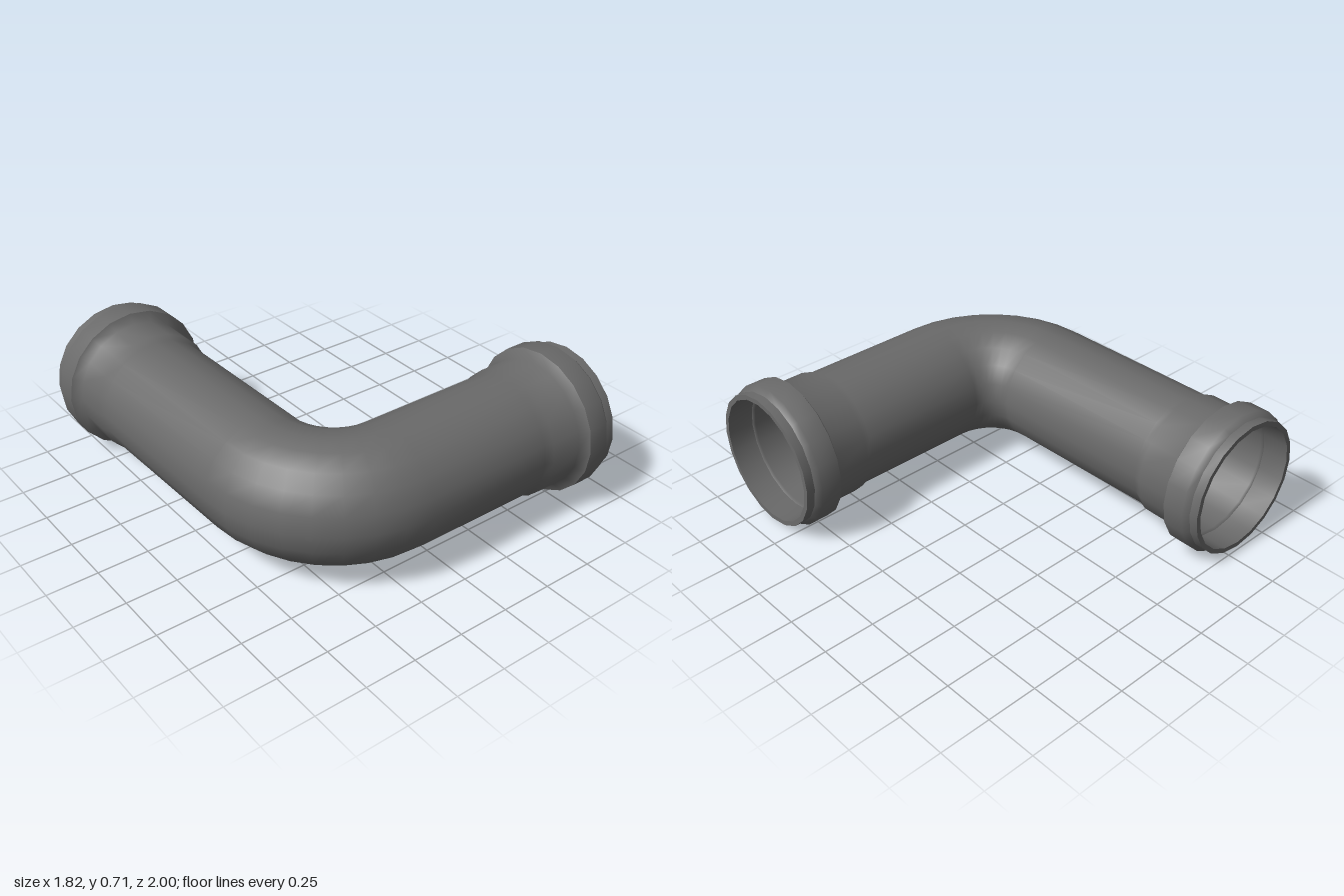
import * as THREE from 'three';

const SIDES = 20;
const AXIS_Y = 0.358;
const BEND = { x: -0.14, z: 0.242, radius: 0.4, steps: 8 };
const OUTER = 0.295, INNER = 0.281;

// A station is a ring: centre (x, z), heading angle and radius.
const station = (x, z, angle, r) => ({ x, z, angle, r });

// Skins a list of rings smoothly; the heading runs from +z (0) to +x (90 degrees).
function loft(rings) {
  const positions = [], index = [];
  for (const { x, z, angle, r } of rings) {
    for (let j = 0; j < SIDES; j++) {
      const a = (j / SIDES) * Math.PI * 2;
      const out = r * Math.cos(a);
      positions.push(x - out * Math.cos(angle), AXIS_Y + r * Math.sin(a), z + out * Math.sin(angle));
    }
  }
  for (let i = 0; i < rings.length - 1; i++) {
    for (let j = 0; j < SIDES; j++) {
      const k = (j + 1) % SIDES;
      const a = i * SIDES + j, b = a + SIDES, c = (i + 1) * SIDES + k, d = i * SIDES + k;
      index.push(a, b, c, a, c, d);
    }
  }
  const geometry = new THREE.BufferGeometry();
  geometry.setAttribute('position', new THREE.Float32BufferAttribute(positions, 3));
  geometry.setIndex(index);
  geometry.computeVertexNormals();
  return geometry;
}

// Profiles as [distance from mouth, radius], running towards the mouth.
const SLEEVE = [[0.40, OUTER], [0.36, 0.31], [0.20, 0.31], [0.172, 0.356]];
const BORE = [[0.40, INNER], [0.37, 0.296], [0.14, 0.296], [0.13, 0.309]];

// Socket parts beyond the sleeve; sharp edges lie between them.
const SOCKET = {
  Collar: [[0.172, 0.356], [0.068, 0.356], [0.042, 0.333]],
  Rim: [[0.042, 0.333], [0, 0.333]],
  Mouth: [[0, 0.333], [0, 0.309]],
  Seat: [[0, 0.309], [0.13, 0.309]],
};

const atLeft = (profile) => profile.map(([d, r]) => station(0.91 - d, 0.643, Math.PI / 2, r));
const atBack = (profile) => profile.map(([d, r]) => station(-0.556, -1 + d, 0, r)).reverse();

// Whole pipe wall: back end, bend, left end.
function wallRings(endProfile, r) {
  const bend = [];
  for (let i = 0; i <= BEND.steps; i++) {
    const t = (i / BEND.steps) * Math.PI / 2;
    bend.push(station(BEND.x - BEND.radius * Math.cos(t), BEND.z + BEND.radius * Math.sin(t), t, r));
  }
  return [...atBack(endProfile), ...bend, ...atLeft(endProfile)];
}

export function createModel() {
  const group = new THREE.Group();
  group.name = 'pipeElbow';
  const material = new THREE.MeshStandardMaterial({ color: 0x6a6a6a });
  const add = (name, rings) => {
    const mesh = new THREE.Mesh(loft(rings), material);
    mesh.name = name;
    group.add(mesh);
  };

  // Bent pipe with flared sleeves, outer and inner wall
  add('elbowOuterWall', wallRings(SLEEVE, OUTER));
  add('elbowInnerWall', wallRings(BORE, INNER).reverse());

  // Raised seal collar, rim, mouth face and inner seat at both ends
  for (const [part, profile] of Object.entries(SOCKET)) {
    add('left' + part, atLeft(profile));
    add('back' + part, atBack(profile));
  }

  return group;
}
